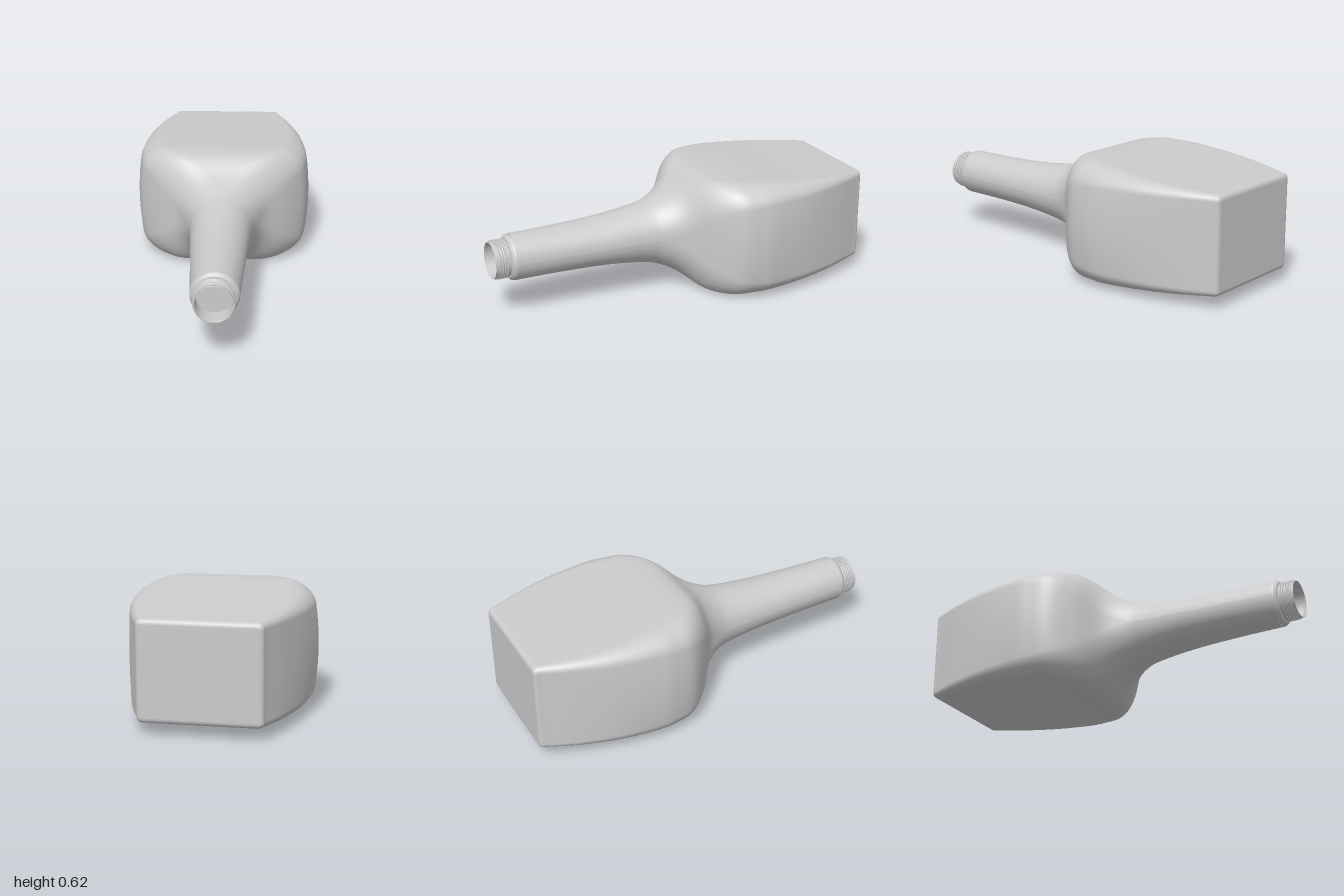
import * as THREE from 'three';

const CENTER_Y = 0.31;
const material = new THREE.MeshStandardMaterial({ color: 0xcccccc, side: THREE.DoubleSide });

// Body stations: z, half width, half height, corner radius x, corner radius y, side bow
const STATIONS = [
  [-0.975, 0.302, 0.248, 0.03, 0.03, 0],
  [-0.8, 0.373, 0.262, 0.05, 0.045, 0.01],
  [-0.6, 0.433, 0.279, 0.08, 0.065, 0.03],
  [-0.4, 0.465, 0.297, 0.11, 0.085, 0.06],
  [-0.3, 0.462, 0.305, 0.13, 0.1, 0.07],
  [-0.2, 0.436, 0.31, 0.14, 0.12, 0.07],
  [-0.1, 0.35, 0.296, 0.16, 0.15, 0.05],
  [0, 0.232, 0.226, 0.17, 0.17, 0.02],
  [0.1, 0.177, 0.18, 0.167, 0.17, 0],
  [0.2, 0.158, 0.155, 0.158, 0.155, 0],
  [0.4, 0.145, 0.131, 0.145, 0.131, 0],
  [0.65, 0.131, 0.121, 0.131, 0.121, 0],
  [0.895, 0.118, 0.12, 0.118, 0.12, 0],
];

// Rounded rectangle with elliptical corners and bowed sides, counter-clockwise
function section([z, a, b, rx, ry, bow]) {
  const pts = [], ARC = 12, SIDE = 10;
  const corner = (q, t) => {
    const sx = q === 0 || q === 3 ? 1 : -1, sy = q < 2 ? 1 : -1;
    const ang = (q + t) * Math.PI / 2;
    return [sx * (a - rx) + rx * Math.cos(ang), sy * (b - ry) + ry * Math.sin(ang)];
  };
  for (let q = 0; q < 4; q++) {
    for (let i = 0; i < ARC; i++) pts.push(corner(q, i / ARC));
    const p = corner(q, 1), n = corner((q + 1) % 4, 0);
    for (let i = 0; i < SIDE; i++) {
      const t = i / SIDE;
      pts.push([p[0] + (n[0] - p[0]) * t, p[1] + (n[1] - p[1]) * t]);
    }
  }
  return pts.map(([x, y]) => [x * (1 - bow * (y / b) ** 2), y, z]);
}

// Skin closed rings, ordered from back to front
function loft(rings) {
  const n = rings[0].length, index = [];
  for (let i = 0; i < rings.length - 1; i++) {
    for (let j = 0; j < n; j++) {
      const k = (j + 1) % n, A = i * n, B = A + n;
      index.push(A + j, A + k, B + k, A + j, B + k, B + j);
    }
  }
  const geo = new THREE.BufferGeometry();
  geo.setAttribute('position', new THREE.Float32BufferAttribute(rings.flat(2), 3));
  geo.setIndex(index);
  geo.computeVertexNormals();
  return geo;
}

function bodyGeometry() {
  // Rolled edge around the flat base
  const R = 0.025, [z0, a0, b0, r0] = STATIONS[0];
  const rolled = [];
  for (let i = 0; i < 6; i++) {
    const ang = (1 - i / 6) * Math.PI / 2, inset = R * (1 - Math.cos(ang));
    rolled.push(section([z0 - R * Math.sin(ang), a0 - inset, b0 - inset, r0 - inset, r0 - inset, 0]));
  }
  const base = rolled[0];
  const hub = base.map(() => [0, 0, -1]);

  // Smooth run through the stations
  const size = new THREE.CatmullRomCurve3(
    STATIONS.map(s => new THREE.Vector3(s[0], s[1], s[2])), false, 'catmullrom', 0.5);
  const round = new THREE.CatmullRomCurve3(
    STATIONS.map(s => new THREE.Vector3(s[3], s[4], s[5])), false, 'catmullrom', 0.5);
  const run = [], STEPS = 96;
  for (let i = 0; i <= STEPS; i++) {
    const s = size.getPoint(i / STEPS), c = round.getPoint(i / STEPS);
    run.push(section([s.x, s.y, s.z, Math.min(c.x, s.y), Math.min(c.y, s.z), Math.max(c.z, 0)]));
  }
  return loft([hub, base, ...rolled, ...run]);
}

export function createModel() {
  const model = new THREE.Group();
  model.name = 'bottle';
  const add = (name, geo, parent = model) => {
    const mesh = new THREE.Mesh(geo, material);
    mesh.name = name;
    parent.add(mesh);
  };

  add('body', bodyGeometry());

  // Neck finish: each strip is its own lathe so the edges stay sharp
  const finish = new THREE.Group();
  finish.name = 'neckFinish';
  model.add(finish);
  const strips = {
    neckShoulder: [[0.119, 0.895], [0.118, 0.902], [0.114, 0.908], [0.105, 0.917]],
    shoulderLedge: [[0.105, 0.917], [0.094, 0.919]],
    threadCore: [[0.094, 0.9], [0.094, 1]],
    lip: [[0.094, 1], [0.091, 1]],
    mouthWall: [[0.091, 1], [0.091, 0.9]],
    mouthFloor: [[0.091, 0.9], [0, 0.9]],
  };
  for (const [name, profile] of Object.entries(strips)) {
    const geo = new THREE.LatheGeometry(profile.map(p => new THREE.Vector2(...p)), 64);
    add(name, geo.rotateX(Math.PI / 2), finish);
  }

  // Screw thread, sinking into the core at both ends
  const TURNS = 5, points = [];
  for (let i = 0; i <= TURNS * 32; i++) {
    const t = i / (TURNS * 32), ang = t * TURNS * Math.PI * 2;
    const r = 0.088 + 0.008 * Math.min(1, t * 16, (1 - t) * 16);
    points.push(new THREE.Vector3(r * Math.cos(ang), r * Math.sin(ang), 0.924 + 0.067 * t));
  }
  add('screwThread', new THREE.TubeGeometry(new THREE.CatmullRomCurve3(points), 360, 0.005, 8), finish);

  model.children.forEach(part => { part.position.y = CENTER_Y; });
  return model;
}
